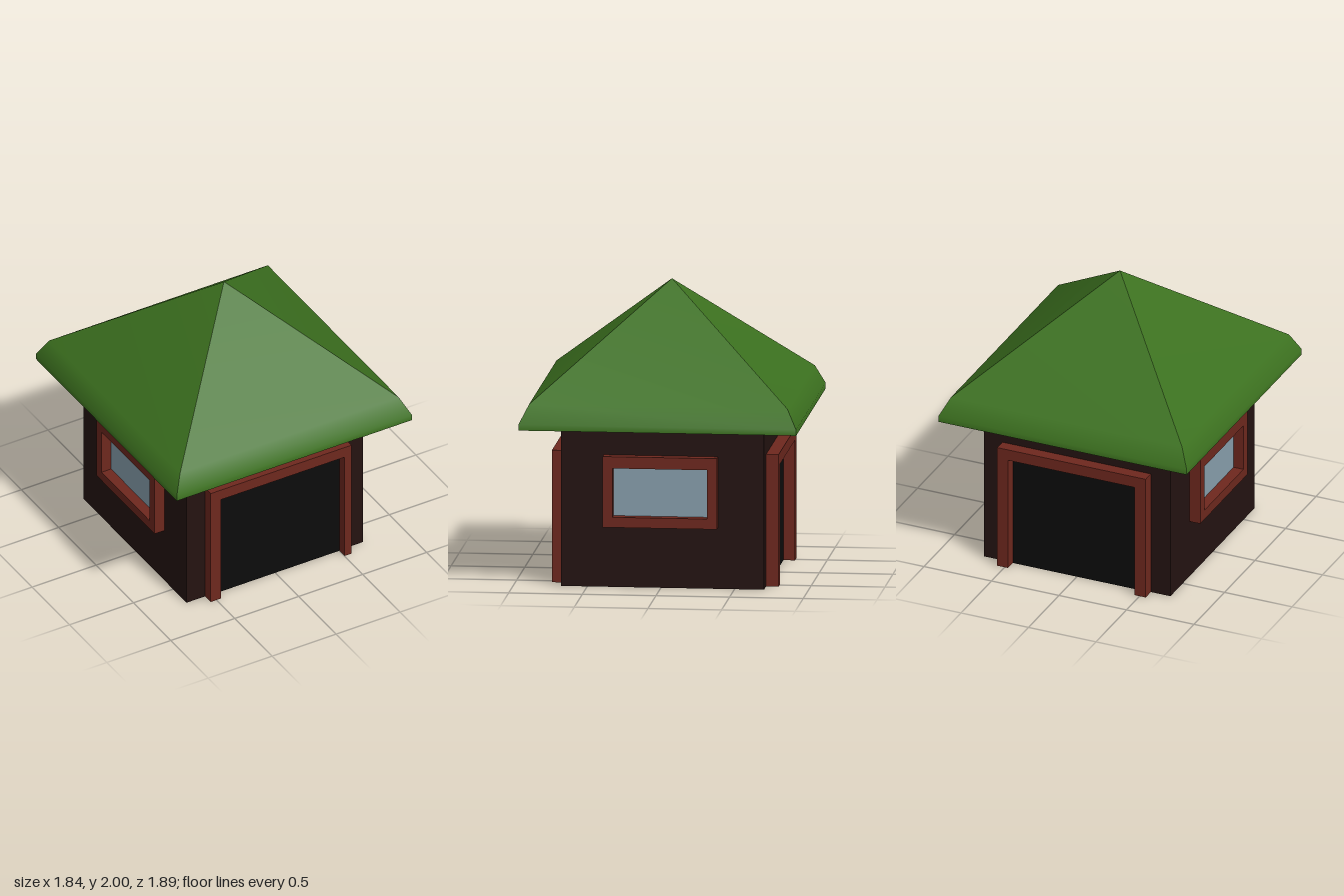
import * as THREE from 'three';

const mat = (color, side = THREE.FrontSide) => new THREE.MeshStandardMaterial({ color, side });

function addMesh(parent, name, geometry, material) {
  const mesh = new THREE.Mesh(geometry, material);
  mesh.name = name;
  parent.add(mesh);
  return mesh;
}

const polygon = (points) => new THREE.Shape(points.map(([x, y]) => new THREE.Vector2(x, y)));
const rect = (x0, y0, x1, y1) => [[x0, y0], [x1, y0], [x1, y1], [x0, y1]];

// Flat panel just in front of the wall, in local x/y
function panel(x0, y0, x1, y1) {
  const t = 0.012;
  return new THREE.BoxGeometry(x1 - x0, y1 - y0, t).translate((x0 + x1) / 2, (y0 + y1) / 2, 0);
}

// Hipped roof: four sides, each smooth down its profile, with sharp hips
function roofGeometry() {
  const rings = [[0, 0, 2], [0.855, 0.877, 1.27], [0.92, 0.943, 1.14], [0.92, 0.943, 1.1]];
  const corners = [[-1, 1], [1, 1], [1, -1], [-1, -1]];
  const position = [], index = [];
  corners.forEach((a, side) => {
    const b = corners[(side + 1) % 4];
    const base = position.length / 3;
    for (const [hx, hz, y] of rings) {
      for (const [sx, sz] of [a, b]) position.push(sx * hx, y, sz * hz);
    }
    for (let i = 0; i < rings.length - 1; i++) {
      const k = base + i * 2;
      if (i > 0) index.push(k, k + 3, k + 1);
      index.push(k, k + 2, k + 3);
    }
  });
  // Flat underside
  const base = position.length / 3;
  const [hx, hz, y] = rings[3];
  for (const [sx, sz] of corners) position.push(sx * hx, y, sz * hz);
  index.push(base, base + 2, base + 1, base, base + 3, base + 2);

  const geometry = new THREE.BufferGeometry();
  geometry.setAttribute('position', new THREE.Float32BufferAttribute(position, 3));
  geometry.setIndex(index);
  geometry.computeVertexNormals();
  return geometry;
}

export function createModel() {
  const model = new THREE.Group();
  model.name = 'hut';
  const wood = mat(0x241311), trim = mat(0x6e281e), dark = mat(0x0c0c0c);
  const glass = mat(0x889fad), green = mat(0x3c711f);

  // Walls
  const walls = addMesh(model, 'walls', new THREE.BoxGeometry(1.38, 1.1, 1.38), wood);
  walls.position.set(0, 0.55, -0.01);

  // Roof
  addMesh(model, 'roof', roofGeometry(), green);

  // Doorways at front and back: dark opening with a three-sided frame
  function doorway(name, z, depth, turn, [o0, i0, i1, o1]) {
    const group = new THREE.Group();
    group.name = name;
    const outline = [[o0, 0], [i0, 0], [i0, 0.825], [i1, 0.825], [i1, 0], [o1, 0], [o1, 0.905], [o0, 0.905]];
    addMesh(group, 'doorFrame', new THREE.ExtrudeGeometry(polygon(outline), { depth, bevelEnabled: false }), trim);
    addMesh(group, 'doorOpening', panel(i0, 0, i1, 0.825), dark);
    group.position.z = z;
    group.rotation.y = turn;
    model.add(group);
  }
  doorway('frontDoorway', 0.68, 0.075, 0, [-0.545, -0.463, 0.502, 0.555]);
  doorway('backDoorway', -0.7, 0.085, Math.PI, [-0.555, -0.475, 0.463, 0.545]);

  // Windows on both sides: pane with a deep rectangular frame
  for (const [name, side, depth] of [['leftWindow', 1, 0.075], ['rightWindow', -1, 0.08]]) {
    const group = new THREE.Group();
    group.name = name;
    const shape = polygon(rect(-0.388, 0.42, 0.388, 0.905));
    shape.holes.push(polygon(rect(-0.32, 0.49, 0.32, 0.825)));
    addMesh(group, 'windowFrame', new THREE.ExtrudeGeometry(shape, { depth, bevelEnabled: false }), trim);
    addMesh(group, 'windowPane', panel(-0.32, 0.49, 0.32, 0.825), glass);
    group.position.x = side * 0.69;
    group.rotation.y = side * Math.PI / 2;
    model.add(group);
  }
  return model;
}
